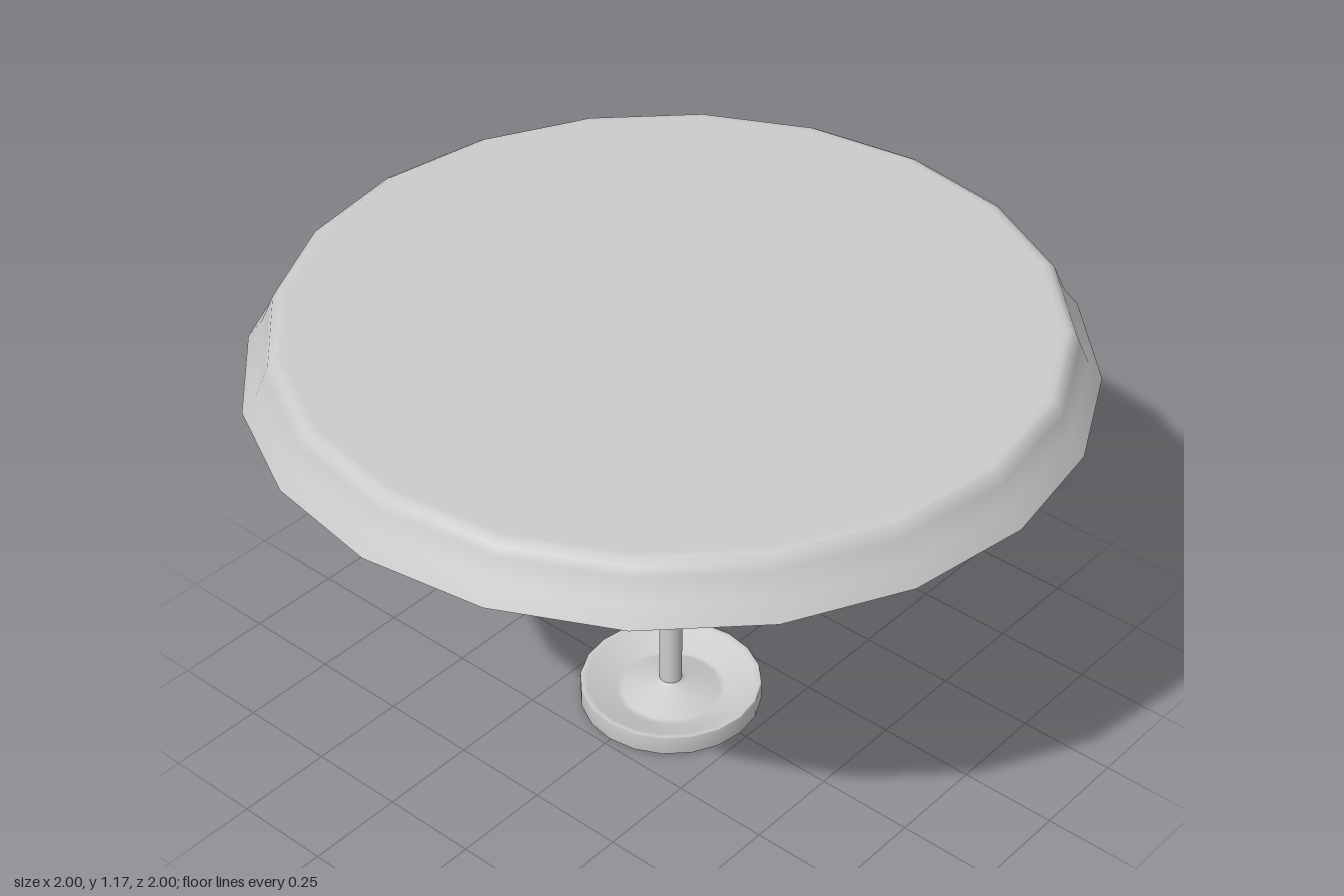
import * as THREE from 'three';

const SIDES = 20;

// Revolves an [radius, height] profile, listed from bottom to top
function turned(name, profile, material) {
  const points = profile.map(([r, y]) => new THREE.Vector2(r, y));
  const mesh = new THREE.Mesh(new THREE.LatheGeometry(points, SIDES), material);
  mesh.name = name;
  return mesh;
}

export function createModel() {
  const group = new THREE.Group();
  group.name = 'pedestalTable';
  const material = new THREE.MeshStandardMaterial({ color: 0xcccccc });

  // Round top: level underside, flared concave edge, small rounded lip
  group.add(turned('tableTop', [
    [0, 1.04], [0.44, 1.04], [0.992, 1.037], [1, 1.042],
    [0.965, 1.085], [0.942, 1.135], [0.932, 1.158],
    [0.915, 1.168], [0.9, 1.168], [0, 1.168],
  ], material));

  // Slim post with a small flare under the top
  group.add(turned('post', [
    [0.029, 0.03], [0.029, 1.02], [0.037, 1.04],
  ], material));

  // Dished foot with a raised centre around the post
  group.add(turned('foot', [
    [0, 0], [0.225, 0], [0.232, 0.003], [0.232, 0.052], [0.228, 0.055],
    [0.215, 0.053], [0.14, 0.02], [0.125, 0.022],
    [0.075, 0.042], [0.04, 0.05], [0.029, 0.06],
  ], material));

  return group;
}
